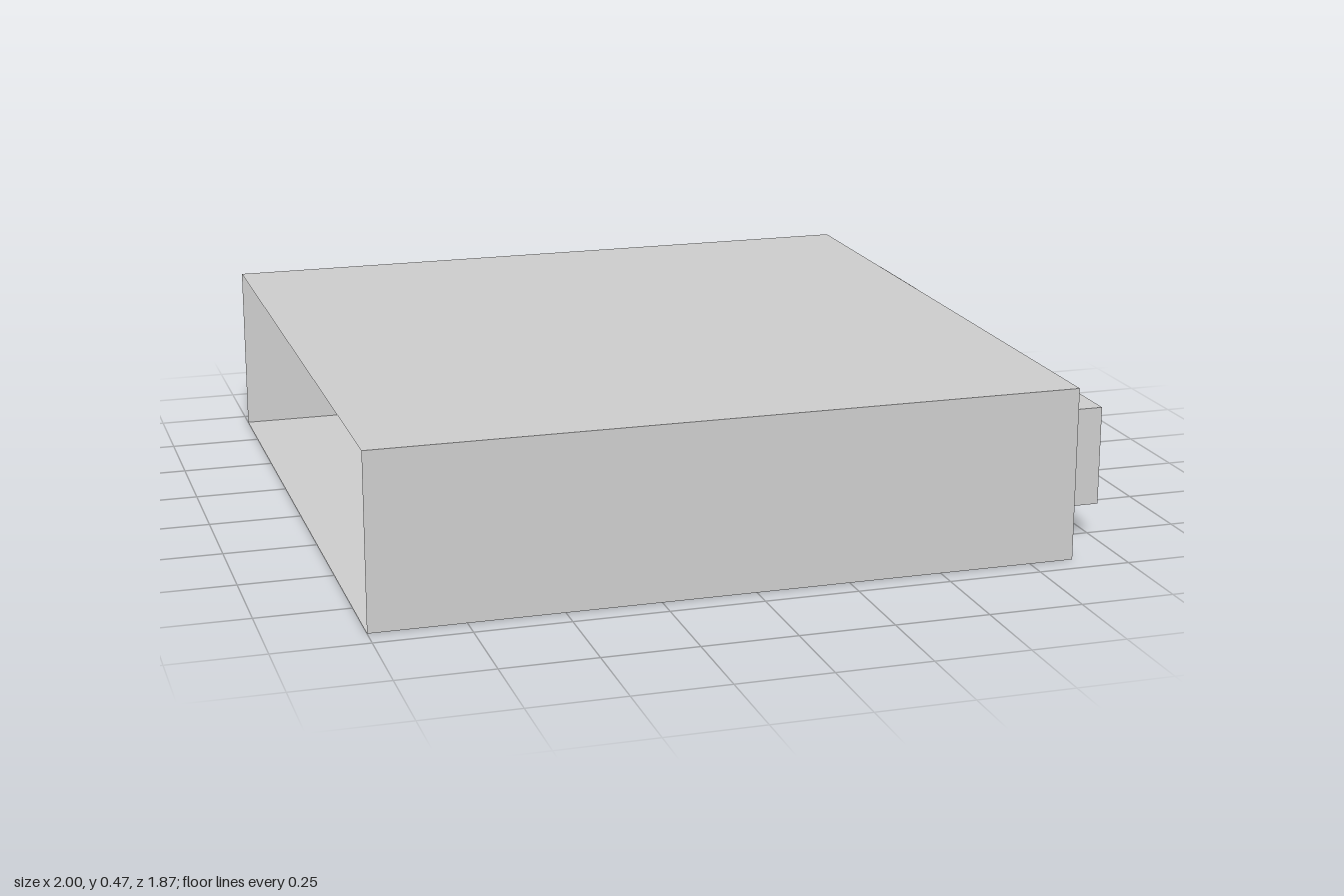
import * as THREE from 'three';

const material = new THREE.MeshStandardMaterial({
  color: 0xcccccc, flatShading: true, side: THREE.DoubleSide,
});

// Four corners of a rectangle at x, counter-clockwise seen from +x
const corners = ([x, y0, y1, z0, z1]) => [
  [x, y0, z1], [x, y0, z0], [x, y1, z0], [x, y1, z1],
];

// Skin through rectangular sections [x, y0, y1, z0, z1]; the last one is closed
function rectangularShell(name, sections) {
  const rings = sections.map(corners);
  const points = [];
  const quad = (a, b, c, d) => points.push(...a, ...b, ...c, ...a, ...c, ...d);
  for (let s = 0; s < rings.length - 1; s++) {
    for (let i = 0; i < 4; i++) {
      const j = (i + 1) % 4;
      quad(rings[s][i], rings[s][j], rings[s + 1][j], rings[s + 1][i]);
    }
  }
  quad(...rings[rings.length - 1]);
  const geometry = new THREE.BufferGeometry();
  geometry.setAttribute('position', new THREE.Float32BufferAttribute(points, 3));
  geometry.computeVertexNormals();
  const mesh = new THREE.Mesh(geometry, material);
  mesh.name = name;
  return mesh;
}

export function createModel() {
  const model = new THREE.Group();
  model.name = 'housing';

  // Flat casing, open at -x, with a rimmed recess tapering in from +x
  model.add(rectangularShell('casing', [
    [-1, 0, 0.465, -0.935, 0.935],
    [0.87, 0, 0.465, -0.935, 0.935],
    [0.87, 0.048, 0.42, -0.934, 0.934],
    [0.56, 0.065, 0.403, -0.845, 0.845],
  ]));

  // Square sockets standing on the recess panel, each with a tapered pocket
  model.add(rectangularShell('frontSocket', [
    [0.56, 0.1, 0.367, 0.52, 0.805],
    [1, 0.1, 0.367, 0.52, 0.805],
    [0.88, 0.15, 0.315, 0.58, 0.75],
  ]));
  model.add(rectangularShell('backSocket', [
    [0.56, 0.087, 0.382, -0.805, -0.495],
    [1, 0.087, 0.382, -0.805, -0.495],
    [0.88, 0.145, 0.322, -0.74, -0.557],
  ]));

  return model;
}
